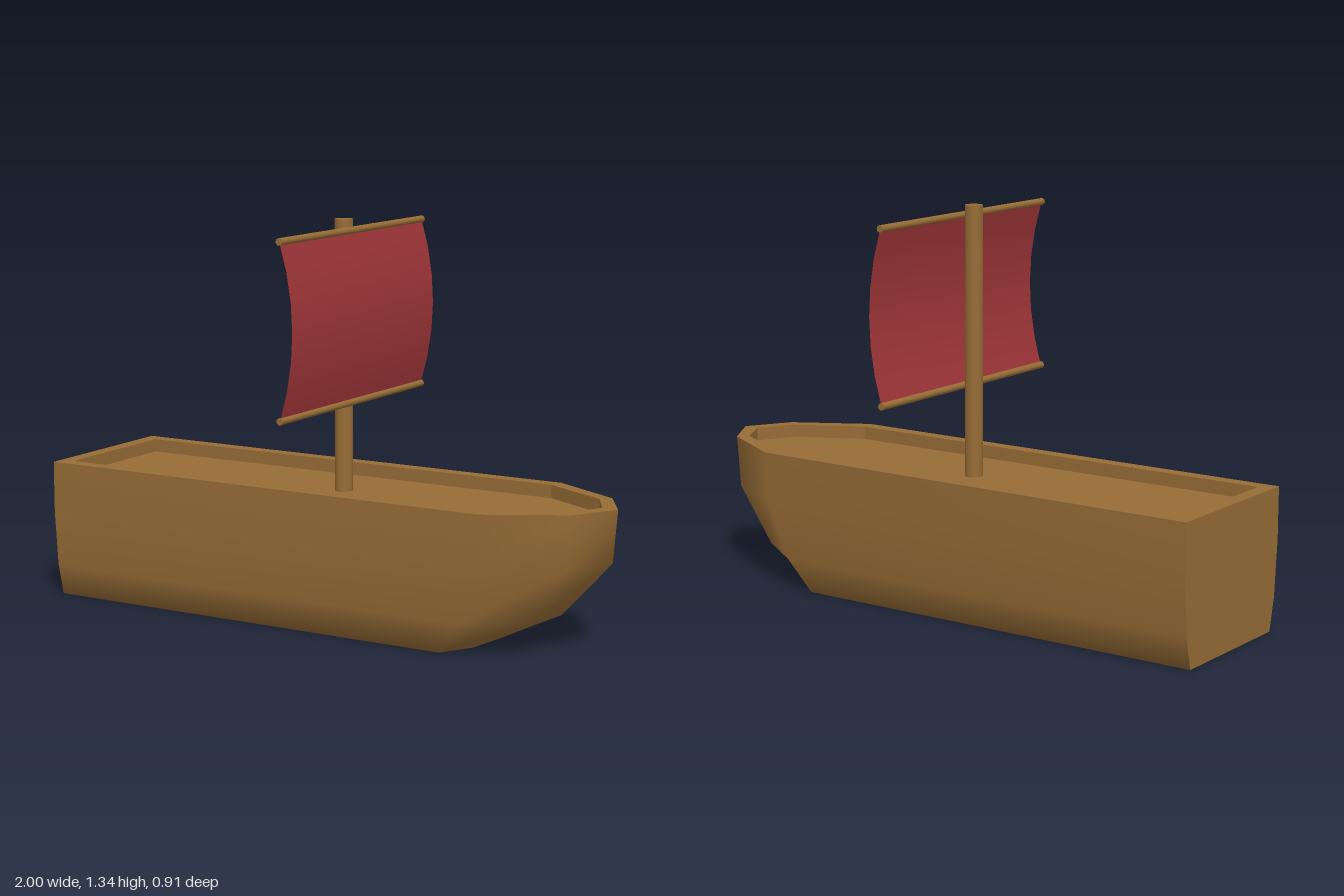
import * as THREE from 'three';

const wood = new THREE.MeshStandardMaterial({ color: 0x966c36 });
const woodFlat = new THREE.MeshStandardMaterial({ color: 0x966c36, flatShading: true });
const cloth = new THREE.MeshStandardMaterial({ color: 0xa03639, side: THREE.DoubleSide });

// Waterline at height y: stern corner, shoulder, cheek, stem, then mirrored back to the stern
function ring(y, [stern, shoulder, cheek, stem]) {
  const half = [stern, shoulder, cheek].map(([x, z]) => new THREE.Vector3(x, y, z));
  const mirrored = half.map((p) => new THREE.Vector3(p.x, p.y, -p.z)).reverse();
  return [...half, new THREE.Vector3(stem, y, 0), ...mirrored];
}

// Surface through successive rings, with an optional cap on the first (-1) or last (+1) ring
function loft(rings, closed, cap = 0) {
  const n = rings[0].length;
  const index = [];
  const quad = (a, b, c, d) => index.push(a, b, c, a, c, d);
  for (let r = 0; r < rings.length - 1; r++) {
    for (let i = 0; i < (closed ? n : n - 1); i++) {
      const j = (i + 1) % n;
      quad(r * n + i, r * n + j, (r + 1) * n + j, (r + 1) * n + i);
    }
  }
  if (cap) {
    const base = cap < 0 ? 0 : (rings.length - 1) * n;
    for (let i = 0; i < (n - 1) / 2; i++) {
      const q = [i, i + 1, n - 2 - i, n - 1 - i].map((k) => base + k);
      if (cap < 0) q.reverse();
      if (i + 1 === n - 2 - i) index.push(q[0], q[1], q[3]);
      else quad(...q);
    }
  }
  const geometry = new THREE.BufferGeometry().setFromPoints(rings.flat());
  geometry.setIndex(index);
  geometry.computeVertexNormals();
  return geometry;
}

export function createModel() {
  const boat = new THREE.Group();
  boat.name = 'sailboat';
  const add = (name, geometry, material, x = 0, y = 0, z = 0) => {
    const mesh = new THREE.Mesh(geometry, material);
    mesh.name = name;
    mesh.position.set(x, y, z);
    boat.add(mesh);
    return mesh;
  };

  // Hull: waterlines from keel to rim, with a smooth bottom
  const topY = 0.475, deckY = 0.43;
  const hull = [
    ring(0, [[-1, 0.25], [0.5, 0.25], [0.565, 0.14], 0.585]),
    ring(0.11, [[-1, 0.275], [0.58, 0.275], [0.765, 0.145], 0.81]),
    ring(0.3, [[-1, 0.29], [0.65, 0.29], [0.895, 0.15], 0.985]),
    ring(topY, [[-1, 0.29], [0.66, 0.29], [0.91, 0.15], 1]),
  ];
  add('hull', loft(hull, false, -1), wood);

  // Flat stern board
  add('transom', loft(hull.map((r) => [r[r.length - 1], r[0]]), false), woodFlat);

  // Rim, inner wall and sunken deck
  const inner = [[-0.95, 0.242], [0.648, 0.242], [0.88, 0.118], 0.945];
  const sunken = [hull[3], ring(topY, inner), ring(deckY, inner)];
  add('rimAndDeck', loft(sunken, true, 1), woodFlat);

  // Mast
  const mastTop = 1.34, mastHeight = mastTop - deckY;
  add('mast', new THREE.CylinderGeometry(0.03, 0.03, mastHeight, 24), wood,
    -0.005, deckY + mastHeight / 2, 0);

  // Yards above and below the sail
  const lowY = 0.735, highY = 1.305, yardX = 0.033;
  for (const [name, y] of [['lowerYard', lowY], ['upperYard', highY]]) {
    const yard = add(name, new THREE.CylinderGeometry(0.012, 0.012, 0.91, 12), wood, yardX, y, 0);
    yard.rotation.x = Math.PI / 2;
  }

  // Sail: a sheet bellied toward the bow
  const sail = new THREE.PlaneGeometry(0.905, highY - lowY, 1, 6);
  sail.rotateY(Math.PI / 2);
  const pos = sail.attributes.position;
  for (let i = 0; i < pos.count; i++) {
    const t = pos.getY(i) / ((highY - lowY) / 2);
    pos.setX(i, 0.047 * (1 - t * t));
  }
  sail.computeVertexNormals();
  add('sail', sail, cloth, yardX, (lowY + highY) / 2, 0);

  return boat;
}
